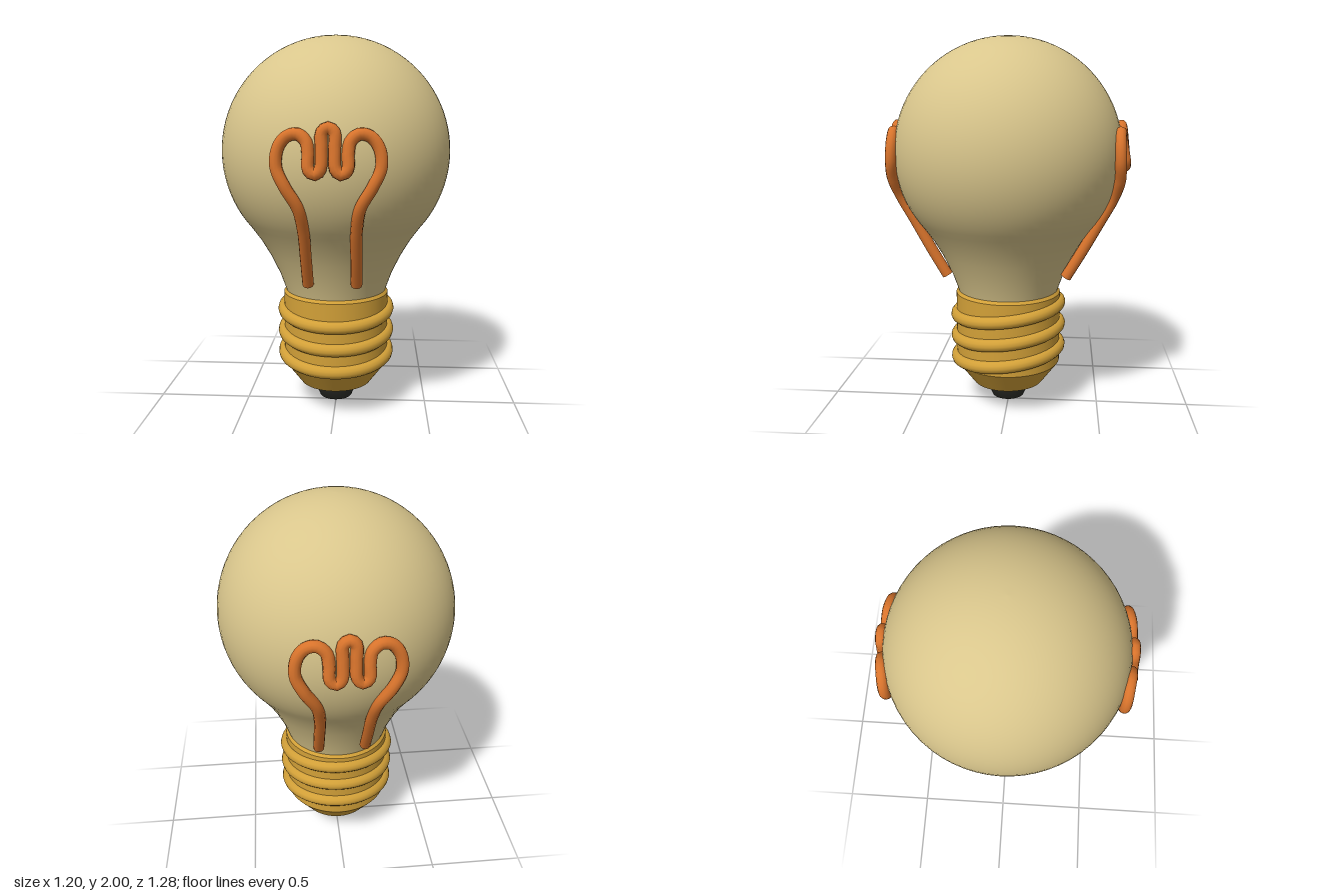
import * as THREE from 'three';
import { toCreasedNormals } from 'three/addons/utils/BufferGeometryUtils.js';

const material = (name, color) => {
  const m = new THREE.MeshStandardMaterial({ color });
  m.name = name;
  return m;
};

const lathe = (points, segments = 64) =>
  new THREE.LatheGeometry(points.map(([r, y]) => new THREE.Vector2(r, y)), segments);

export function createModel() {
  const glass = material('warm glass', 0xd9c68c);
  const brass = material('brass', 0xd2a038);
  const copper = material('orange wire', 0xd9742c);
  const black = material('dark contact', 0x30312b);

  const model = new THREE.Group();
  model.name = 'lightBulb';
  const add = (parent, name, geometry, mat) => {
    const mesh = new THREE.Mesh(geometry, mat);
    mesh.name = name;
    parent.add(mesh);
    return mesh;
  };

  // Glass: flared neck running into a sphere of radius 0.6
  const profile = [[0.262, 0.62], [0.273, 0.66], [0.305, 0.75], [0.355, 0.855], [0.405, 0.94]];
  const start = Math.asin(-0.39 / 0.6);
  for (let i = 0; i <= 32; i++) {
    const a = start + (Math.PI / 2 - start) * i / 32;
    profile.push([Math.max(0, 0.6 * Math.cos(a)), 1.4 + 0.6 * Math.sin(a)]);
  }
  add(model, 'glassBulb', lathe(profile), glass);

  // Screw base with a tapered bottom
  const base = lathe([[0, 0.13], [0.195, 0.13], [0.285, 0.25], [0.285, 0.642], [0.272, 0.657], [0, 0.657]]);
  add(model, 'screwBase', toCreasedNormals(base, 0.5), brass);

  // Tilted thread rings
  for (const y of [0.307, 0.428, 0.55]) {
    const ring = add(model, 'threadRing', new THREE.TorusGeometry(0.284, 0.034, 12, 64), brass);
    ring.position.y = y;
    ring.rotation.x = Math.PI / 2 + 0.123;
  }

  // Bottom contact
  add(model, 'contactTip', lathe([[0, 0], [0.088, 0.035], [0.13, 0.13], [0.13, 0.15]], 32), black);

  // Filament wire: half the path, mirrored in x
  const half = [
    [0.122, 0.755, 0.315], [0.123, 0.9, 0.4], [0.126, 1.06, 0.488], [0.145, 1.18, 0.55],
    [0.2, 1.28, 0.577], [0.238, 1.37, 0.575], [0.228, 1.455, 0.572], [0.19, 1.505, 0.573],
    [0.14, 1.517, 0.58], [0.1, 1.485, 0.588], [0.09, 1.43, 0.598], [0.088, 1.36, 0.61],
    [0.06, 1.338, 0.612], [0.035, 1.36, 0.612], [0.03, 1.45, 0.602], [0.028, 1.525, 0.593],
  ];
  const path = [
    ...half.map(([x, y, z]) => new THREE.Vector3(-x, y, z)),
    new THREE.Vector3(0, 1.545, 0.591),
    ...half.map(([x, y, z]) => new THREE.Vector3(x, y, z)).reverse(),
  ];
  const curve = new THREE.CatmullRomCurve3(path);
  const radius = 0.029;
  const wire = new THREE.TubeGeometry(curve, 150, radius, 12);

  // One filament on the front and one on the back
  for (const [name, turn] of [['frontFilament', 0], ['backFilament', Math.PI]]) {
    const filament = new THREE.Group();
    filament.name = name;
    filament.rotation.y = turn;
    add(filament, 'wire', wire, copper);
    for (const [t, sign] of [[0, -1], [1, 1]]) {
      const cap = add(filament, 'wireEnd', new THREE.CircleGeometry(radius, 12), copper);
      cap.position.copy(curve.getPointAt(t));
      cap.quaternion.setFromUnitVectors(
        new THREE.Vector3(0, 0, 1), curve.getTangentAt(t).multiplyScalar(sign));
    }
    model.add(filament);
  }
  return model;
}
